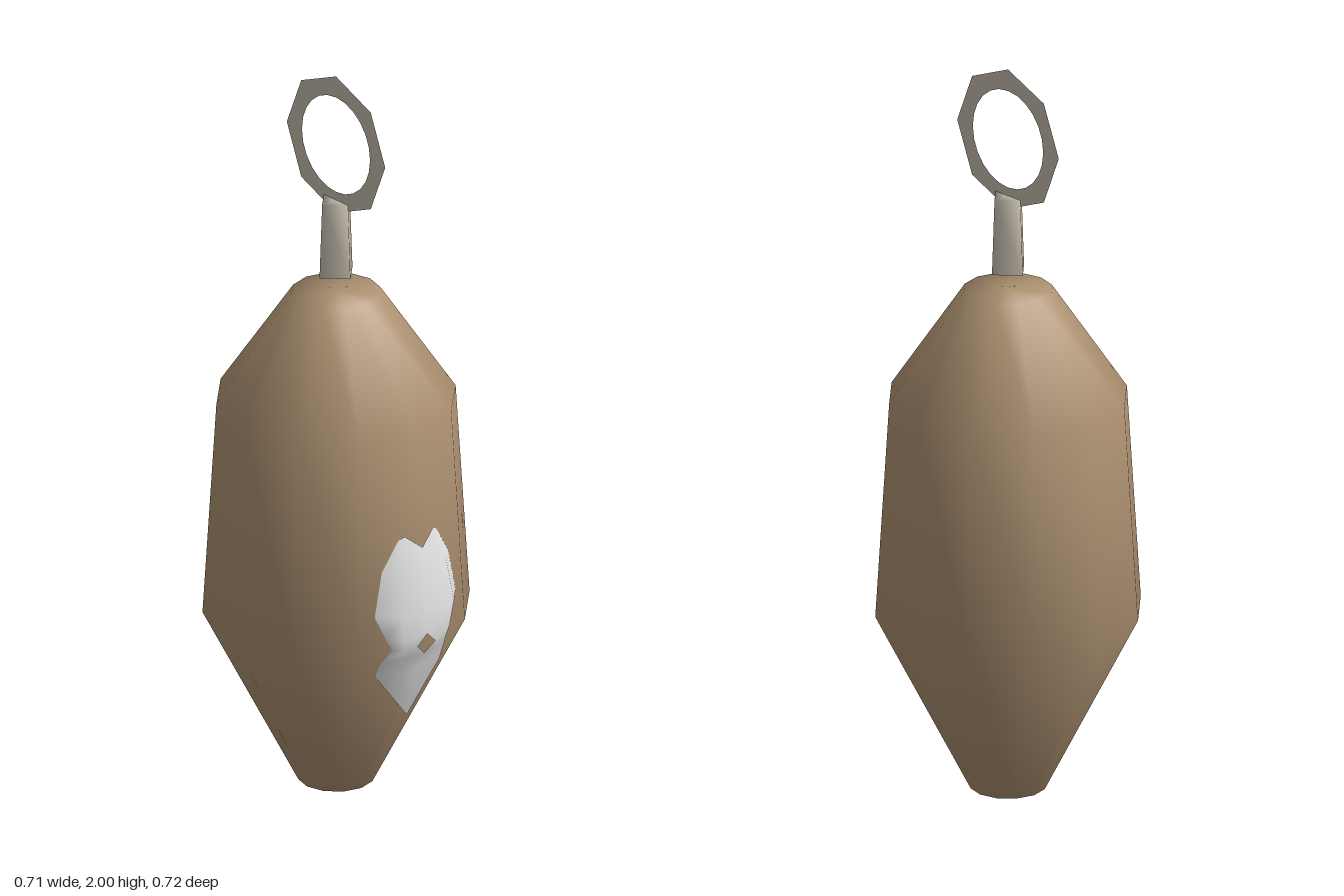
import * as THREE from 'three';
import { mergeVertices } from 'three/addons/utils/BufferGeometryUtils.js';

const mat = (name, color, side = THREE.FrontSide) => {
  const m = new THREE.MeshStandardMaterial({ color, side });
  m.name = name;
  return m;
};

// Turned part with a [radius, y] profile listed from bottom to top
function turned(name, profile, sides, material) {
  const points = profile.map(([r, y]) => new THREE.Vector2(r, y));
  const mesh = new THREE.Mesh(new THREE.LatheGeometry(points, sides), material);
  mesh.name = name;
  mesh.position.z = -0.005;
  return mesh;
}

// Raised patch: each row runs from the middle column to the outer edge as [x, y, z]
function patchGeometry() {
  const rows = [
    [[0, 0.77, 0.338], [0.05, 0.81, 0.324], [0.065, 0.8, 0.316]],
    [[0, 0.72, 0.346], [0.075, 0.72, 0.345], [0.115, 0.72, 0.308]],
    [[0, 0.6, 0.36], [0.09, 0.6, 0.36], [0.14, 0.6, 0.309]],
    [[0, 0.53, 0.357], [0.08, 0.53, 0.354], [0.11, 0.53, 0.32]],
    [[0.03, 0.5, 0.354], [0.07, 0.5, 0.35], [0.095, 0.5, 0.327]],
    [[0, 0.47, 0.344], [0.075, 0.47, 0.336], [0.108, 0.46, 0.302]],
    [[0, 0.42, 0.32], [0.08, 0.42, 0.312], [0.116, 0.42, 0.274]],
    [[0, 0.27, 0.275], [0, 0.27, 0.275], [0, 0.27, 0.275]],
  ];
  const positions = [], index = [];
  for (const row of rows) {
    for (const [x, y, z] of [...row].reverse()) positions.push(-x, y, z);
    for (const p of row) positions.push(...p);
  }
  for (let r = 0; r < rows.length - 1; r++) {
    for (const c of [0, 1, 3, 4]) {
      const a = r * 6 + c, b = a + 6;
      index.push(a, b, a + 1);
      // the last row closes to a point
      if (r < rows.length - 2) index.push(b, b + 1, a + 1);
    }
  }
  const geometry = new THREE.BufferGeometry();
  geometry.setAttribute('position', new THREE.Float32BufferAttribute(positions, 3));
  geometry.setIndex(index);
  const merged = mergeVertices(geometry, 1e-4);
  merged.computeVertexNormals();
  return merged;
}

export function createModel() {
  const model = new THREE.Group();
  const brown = mat('brown', 0xac9070);
  const metal = mat('paleMetal', 0xc4bcae, THREE.DoubleSide);
  const white = mat('white', 0xe6e6e6, THREE.DoubleSide);

  // Twelve-sided body
  model.add(turned('body', [[0, 0], [0.1, 0], [0.355, 0.5], [0.318, 1.09], [0.118, 1.388], [0, 1.388]], 12, brown));

  // Four-sided neck floating above the body
  model.add(turned('neck', [[0, 1.44], [0.057, 1.44], [0.048, 1.647], [0, 1.647]], 4, metal));

  // Flat octagonal ring with a round hole
  const outline = new THREE.Shape();
  for (let i = 0; i < 8; i++) {
    const a = i * Math.PI / 4;
    outline[i ? 'lineTo' : 'moveTo'](0.195 * Math.cos(a), 0.195 * Math.sin(a));
  }
  outline.closePath();
  outline.holes.push(new THREE.Path().absarc(0, 0, 0.135, 0, Math.PI * 2, true));
  const ring = new THREE.Mesh(new THREE.ShapeGeometry(outline, 12), metal);
  ring.name = 'ring';
  ring.rotation.y = Math.PI / 2;
  ring.position.set(0, 1.805, -0.005);
  model.add(ring);

  // White patch on the front
  const patch = new THREE.Mesh(patchGeometry(), white);
  patch.name = 'frontPatch';
  model.add(patch);

  return model;
}
